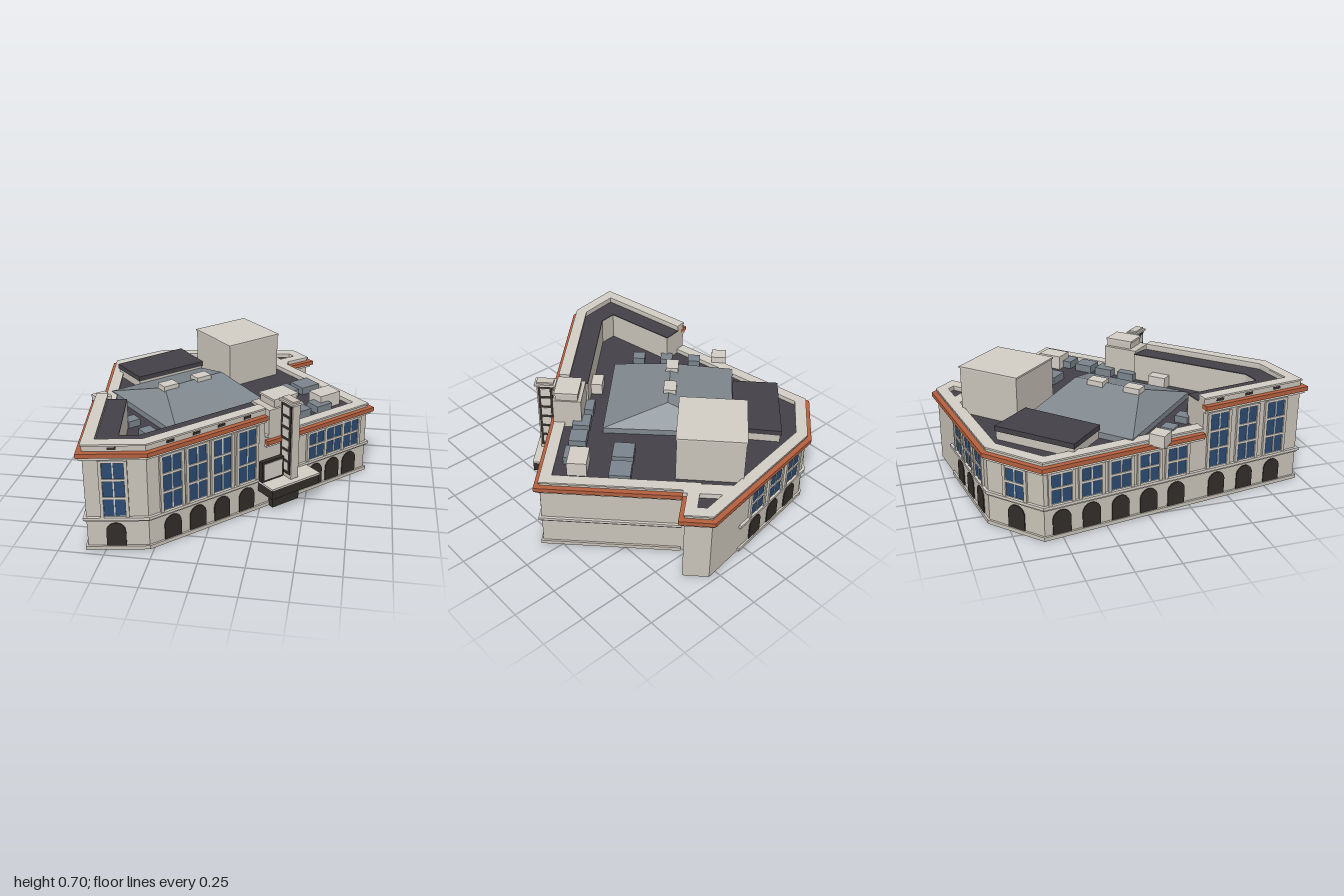
import * as THREE from 'three';
import { ConvexGeometry } from 'three/addons/geometries/ConvexGeometry.js';

const mat = (color) => new THREE.MeshStandardMaterial({ color, flatShading: true, side: THREE.DoubleSide });
const STONE = mat(0xc9c3b8), TRIM = mat(0xd2cdc5), BRICK = mat(0xb5603f), ROOF = mat(0x434147), GLASS = mat(0x2b4a72),
  DARK = mat(0x322d29), SLATE = mat(0x7f888e), METAL = mat(0x7a848c), GOLD = mat(0x8a6420);

// Plan corners as [x, z], at the outer edge of the cornice
const W_CUT = [-0.723, 0.33], SW = [-0.62, 0.99], S = [-0.26, 0.925], SE_CUT = [0.29, 0.392], E = [0.865, -0.165],
  NOOK = [0.30, -0.735], NE = [0.45, -0.86], N = [0.315, -1.0], NW = [-0.59, -0.865], W = [-0.87, -0.61];
const HIGH = [W_CUT, SW, S, SE_CUT];
const LOW = [SE_CUT, E, NOOK, NE, N, NW, W, W_CUT];
const DIAG = Math.atan2(1.09, 1.125); // turn of the long front wall

const lerp = (a, b, t) => [a[0] + (b[0] - a[0]) * t, a[1] + (b[1] - a[1]) * t];
const normal = (a, b) => {
  const dx = b[0] - a[0], dz = b[1] - a[1], l = Math.hypot(dx, dz);
  return [-dz / l, dx / l];
};

// Moves a path outwards by d with mitred corners
function offset(path, d, closed = false) {
  const n = path.length;
  return path.map((p, i) => {
    const hasPrev = closed || i > 0, hasNext = closed || i < n - 1;
    const next = hasNext ? normal(p, path[(i + 1) % n]) : null;
    const n1 = hasPrev ? normal(path[(i + n - 1) % n], p) : next;
    const n2 = next || n1;
    const k = d / (1 + n1[0] * n2[0] + n1[1] * n2[1]);
    return [p[0] + (n1[0] + n2[0]) * k, p[1] + (n1[1] + n2[1]) * k];
  });
}

export function createModel() {
  const model = new THREE.Group();

  const add = (name, geometry, material, parent = model) => {
    const mesh = new THREE.Mesh(geometry, material);
    mesh.name = name;
    parent.add(mesh);
    return mesh;
  };
  // Vertical prism over a plan outline
  const prism = (name, pts, y0, y1, material) => {
    const shape = new THREE.Shape(pts.map(([x, z]) => new THREE.Vector2(x, -z)));
    const g = new THREE.ExtrudeGeometry(shape, { depth: y1 - y0, bevelEnabled: false });
    g.rotateX(-Math.PI / 2).translate(0, y0, 0);
    return add(name, g, material);
  };
  // Band that follows a path between two offsets
  const band = (name, path, out, inn, y0, y1, material) =>
    prism(name, [...offset(path, out), ...offset(path, inn).reverse()], y0, y1, material);
  const box = (name, w, h, d, x, y, z, material, parent) => {
    const m = add(name, new THREE.BoxGeometry(w, h, d), material, parent);
    m.position.set(x, y, z);
    return m;
  };
  // Box turned to the diagonal grid: w along the front wall, d across it
  const turned = (name, x, z, w, d, y0, y1, material) => {
    const m = box(name, w, y1 - y0, d, x, (y0 + y1) / 2, z, material);
    m.rotation.y = DIAG;
    return m;
  };

  // Main body and raised front wing
  const outline = [W_CUT, SW, S, E, NOOK, NE, N, NW, W];
  prism('mainWalls', offset(outline, -0.03, true), 0, 0.415, STONE);
  prism('mainRoof', offset(outline, -0.07, true), 0.41, 0.42, ROOF);
  const court = [[0.17, 0.23], [-0.35, 0.735], [-0.455, 0.75], [-0.53, 0.30]];
  prism('wingWalls', [...offset(HIGH, -0.03), ...court], 0.41, 0.58, STONE);
  prism('wingRoof', [...offset(HIGH, -0.07), ...court], 0.58, 0.586, ROOF);

  // Cornices and parapets
  for (const [label, path, y] of [['low', LOW, 0.40], ['high', HIGH, 0.556]]) {
    band(label + 'Moulding', path, -0.012, -0.04, y - 0.016, y, TRIM);
    band(label + 'Cornice', path, 0, -0.05, y, y + 0.025, BRICK);
    const top = y === 0.40 ? 0.45 : 0.622;
    band(label + 'Parapet', path, -0.03, -0.085, y + 0.02, top - 0.01, STONE);
    band(label + 'Coping', path, -0.024, -0.09, top - 0.01, top, TRIM);
  }
  band('nookParapet', [NOOK, [0.11, -0.925]], 0, -0.08, 0.41, 0.45, TRIM);

  // Base course and ledge over the ground floor
  const ledgePath = [lerp(N, NW, 0.3), NW, W, SW, S, E, NOOK];
  band('baseCourse', ledgePath, -0.018, -0.04, 0, 0.022, STONE);
  band('ledge', ledgePath, -0.014, -0.04, 0.182, 0.198, TRIM);
  band('ledgeLip', ledgePath, -0.022, -0.04, 0.172, 0.182, STONE);

  // One bay: arch below, panes above, with frame and pilasters
  const archShape = new THREE.Shape();
  archShape.moveTo(-0.052, 0.022).lineTo(0.052, 0.022).lineTo(0.052, 0.108);
  archShape.absarc(0, 0.108, 0.052, 0, Math.PI, false);
  const archGeometry = new THREE.ExtrudeGeometry(archShape, { depth: 0.006, bevelEnabled: false, curveSegments: 12 });
  function bay(a, b, t, rows) {
    const [nx, nz] = normal(a, b), p = lerp(a, b, t);
    const g = new THREE.Group();
    g.name = 'windowBay';
    g.position.set(p[0] - nx * 0.03, 0, p[1] - nz * 0.03);
    g.rotation.y = Math.atan2(nx, nz);
    model.add(g);
    add('arch', archGeometry, DARK, g);
    const top = rows === 3 ? 0.525 : 0.375, h = (top - 0.205) / rows;
    box('glass', 0.112, top - 0.205, 0.008, 0, (top + 0.205) / 2, 0.001, GLASS, g);
    box('mullion', 0.007, top - 0.205, 0.014, 0, (top + 0.205) / 2, 0.002, TRIM, g);
    for (let r = 1; r <= rows; r++) box('rail', 0.12, 0.014, 0.018, 0, 0.205 + h * r, 0.002, TRIM, g);
    for (const s of [-1, 1]) box('pilaster', 0.018, top - 0.19, 0.022, s * 0.066, (top + 0.2) / 2, 0.002, STONE, g);
    if (rows === 3) box('parapetVent', 0.045, 0.014, 0.006, 0, 0.597, 0.001, DARK, g);
  }
  for (const t of [0.099, 0.201, 0.303, 0.41]) bay(S, E, t, 3);
  for (const t of [0.73, 0.815, 0.90]) bay(S, E, t, 2);
  for (const t of [0.47, 0.66, 0.85]) bay(N, NW, t, 2);
  for (const t of [0.07, 0.175, 0.28, 0.385, 0.49]) bay(W, SW, t, 2);
  for (const t of [0.65, 0.765, 0.88]) bay(W, SW, t, 3);
  bay(NW, W, 0.5, 2);
  bay(SW, S, 0.5, 3);

  // Hipped roof over the middle
  const eaves = [[-0.735, -0.09], [-0.26, -0.55], [0.27, -0.03], [-0.21, 0.44]];
  const hip = [[-0.36, 0.08], [-0.07, -0.21]].map(([x, z]) => new THREE.Vector3(x, 0.575, z));
  for (const [x, z] of eaves) hip.push(new THREE.Vector3(x, 0.415, z), new THREE.Vector3(x, 0.455, z));
  add('hippedRoof', new ConvexGeometry(hip), SLATE);

  // Tall plant block and the low rear block
  turned('plantBlock', -0.033, -0.605, 0.375, 0.37, 0.41, 0.69, STONE);
  turned('plantBlockCap', -0.033, -0.605, 0.385, 0.38, 0.69, 0.70, TRIM);
  const rear = [[-0.44, -0.755], [-0.775, -0.42], [-0.595, -0.235], [-0.26, -0.55]];
  prism('rearBlock', rear, 0.41, 0.47, STONE);
  prism('rearBlockRoof', offset(rear, 0.006, true), 0.47, 0.50, ROOF);

  // Roof units: x, z, width, depth, bottom, top
  const grey = [[0.43, -0.38, 0.13, 0.12, 0.465], [0.315, -0.27, 0.13, 0.12, 0.465], [0.54, -0.10, 0.11, 0.1, 0.465],
    [0.425, 0, 0.11, 0.1, 0.465], [0.32, 0.10, 0.11, 0.1, 0.465], [0.2, 0.2, 0.11, 0.08, 0.465],
    [-0.635, 0.155, 0.075, 0.075, 0.46], [-0.515, 0.285, 0.075, 0.075, 0.46], [-0.39, 0.41, 0.075, 0.075, 0.46]];
  for (const [x, z, w, d, y] of grey) turned('roofUnit', x, z, w, d, 0.41, y, METAL);
  const pale = [[0.565, -0.18, 0.15, 0.11, 0.41, 0.505], [0.015, 0.335, 0.11, 0.07, 0.41, 0.49],
    [-0.345, 0.05, 0.1, 0.075, 0.54, 0.592], [-0.18, -0.11, 0.1, 0.075, 0.54, 0.592],
    [-0.757, 0.055, 0.09, 0.09, 0.42, 0.49]];
  for (const [x, z, w, d, y0, y1] of pale) turned('paleRoofUnit', x, z, w, d, y0, y1, TRIM);

  // Stair block behind the entrance
  turned('stairBlock', 0.31, 0.225, 0.215, 0.165, 0.40, 0.60, STONE);
  turned('stairBlockTop', 0.325, 0.215, 0.16, 0.13, 0.60, 0.645, STONE);
  turned('stairBlockCap', 0.325, 0.215, 0.17, 0.14, 0.638, 0.65, TRIM);

  // Entrance parts, placed in the frame of the front wall
  const entrance = new THREE.Group();
  entrance.name = 'entrance';
  entrance.position.set(0.37, 0, 0.295);
  entrance.rotation.y = DIAG;
  model.add(entrance);
  box('doorway', 0.19, 0.12, 0.04, 0, 0.06, 0.01, DARK, entrance);
  box('canopy', 0.34, 0.06, 0.13, 0, 0.148, 0.055, DARK, entrance);
  box('canopyTop', 0.345, 0.01, 0.135, 0, 0.18, 0.055, TRIM, entrance);
  box('canopySoffit', 0.31, 0.006, 0.105, 0, 0.116, 0.055, GOLD, entrance);

  // Slim tower fin with framed openings on both sides
  box('towerFin', 0.052, 0.46, 0.1, 0.005, 0.42, 0.045, STONE, entrance);
  box('towerCap', 0.075, 0.012, 0.125, 0.005, 0.65, 0.045, TRIM, entrance);
  box('towerCrown', 0.05, 0.012, 0.1, 0.005, 0.66, 0.045, STONE, entrance);
  for (const s of [-1, 1]) {
    box('towerPanel', 0.006, 0.43, 0.085, 0.005 + s * 0.028, 0.43, 0.045, DARK, entrance);
    for (let i = 0; i < 6; i++)
      box('towerOpening', 0.004, 0.05, 0.055, 0.005 + s * 0.031, 0.262 + i * 0.068, 0.045, TRIM, entrance);
  }

  // Framed blank panel beside the tower
  box('panelFrame', 0.15, 0.125, 0.03, -0.11, 0.26, 0.03, DARK, entrance);
  box('panelFace', 0.125, 0.10, 0.006, -0.11, 0.26, 0.045, TRIM, entrance);

  return model;
}
